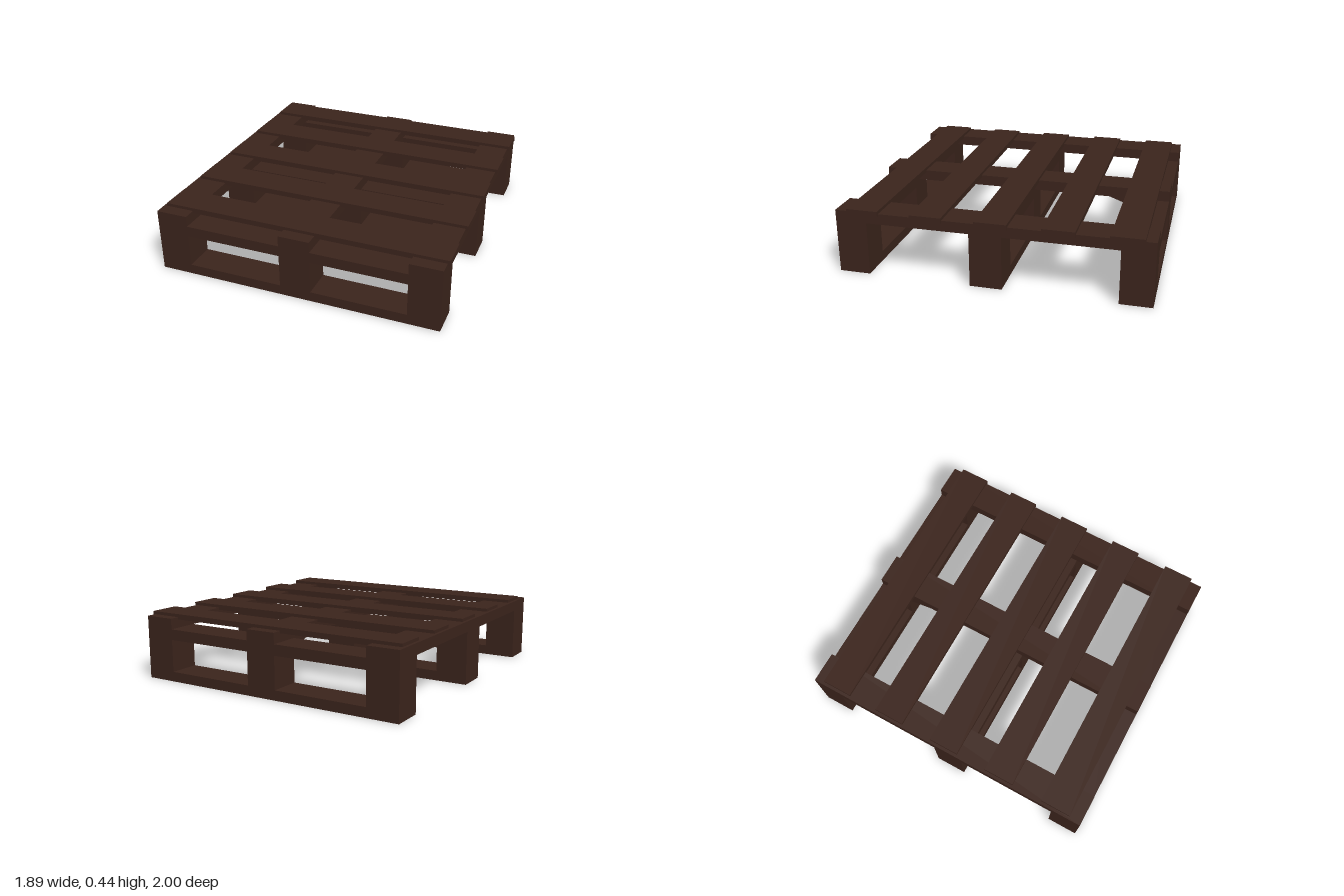
import * as THREE from 'three';

export function createModel() {
  const group = new THREE.Group();
  const wood = new THREE.MeshStandardMaterial({ color: 0x3b241c, flatShading: true });

  // Box given by its extents along each axis
  function board(name, [x0, x1], [y0, y1], [z0, z1]) {
    const mesh = new THREE.Mesh(new THREE.BoxGeometry(x1 - x0, y1 - y0, z1 - z0), wood);
    mesh.position.set((x0 + x1) / 2, (y0 + y1) / 2, (z0 + z1) / 2);
    mesh.name = name;
    group.add(mesh);
  }

  const columns = [[-0.945, -0.735], [-0.1, 0.105], [0.725, 0.93]];
  const rows = [[-1, -0.795], [-0.075, 0.13], [0.797, 1]];

  // Runners: bottom board, three blocks and a cross rail between the blocks
  for (const z of rows) {
    board('bottomBoard', [-0.945, 0.93], [0, 0.065], z);
    for (const x of columns) board('block', x, [0.065, 0.35], z);
    for (let i = 0; i < 2; i++) {
      board('crossRail', [columns[i][1], columns[i + 1][0]], [0.28, 0.35], z);
    }
  }

  // Stringers running front to back over the blocks
  for (const x of columns) board('stringer', x, [0.35, 0.42], [-1, 1]);

  // Deck slats, slightly let into the stringers
  for (const z of [-0.832, -0.425, -0.01, 0.402, 0.815]) {
    board('deckSlat', [-0.925, 0.945], [0.405, 0.44], [z - 0.102, z + 0.102]);
  }

  // Wedge bracing the middle stringer against the rear block
  const profile = new THREE.Shape([
    new THREE.Vector2(0.6, 0.35), new THREE.Vector2(0.795, 0.28), new THREE.Vector2(0.795, 0.35),
  ]);
  const [x0, x1] = columns[1];
  const wedge = new THREE.Mesh(
    new THREE.ExtrudeGeometry(profile, { depth: x1 - x0, bevelEnabled: false }), wood);
  wedge.rotation.y = Math.PI / 2;
  wedge.position.x = x0;
  wedge.name = 'braceWedge';
  group.add(wedge);

  return group;
}
